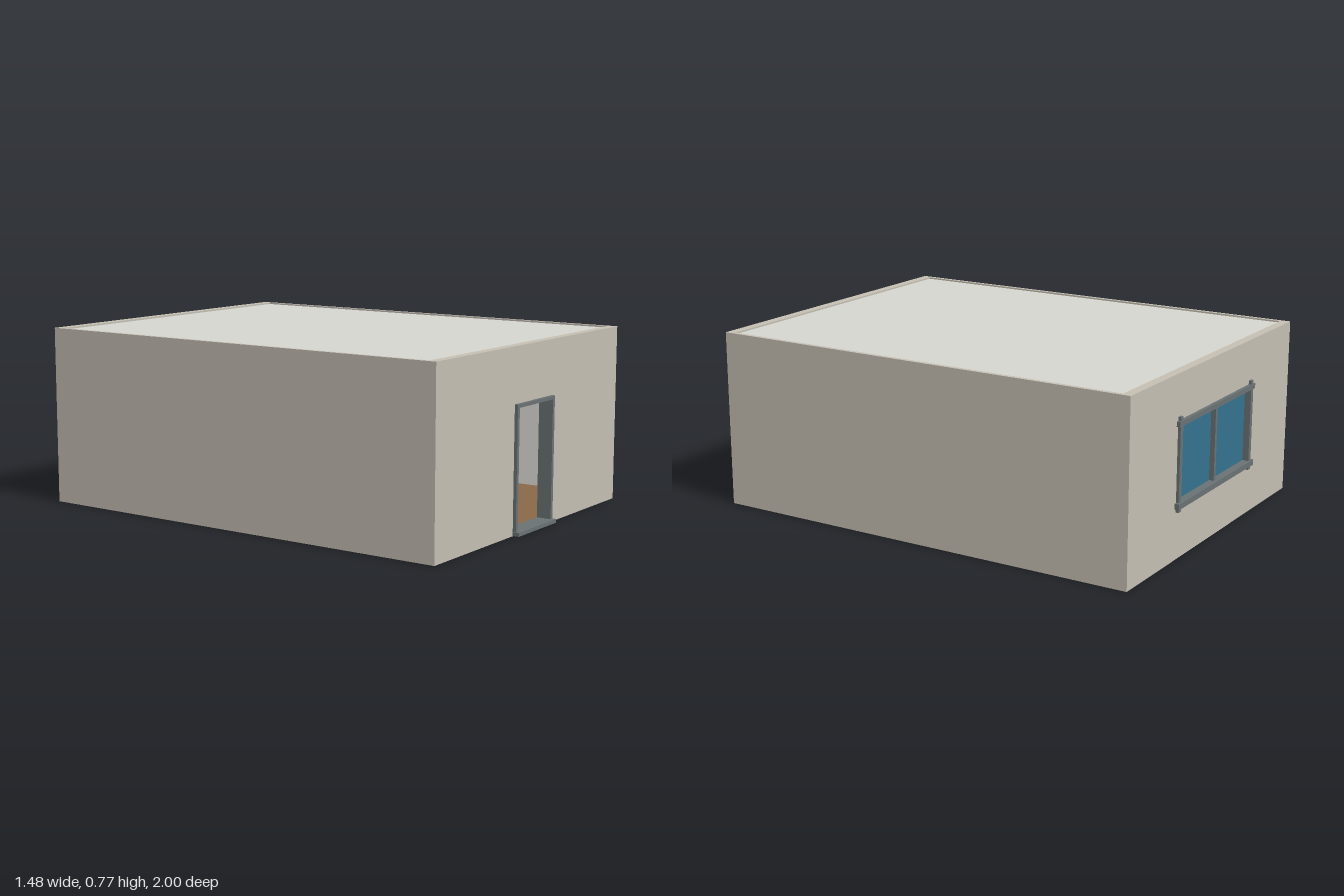
import * as THREE from 'three';

const mat = (color) => new THREE.MeshStandardMaterial({ color });

const M = {
  wall: mat(0xc4beb2),
  lining: mat(0xe6e4dd),
  ceiling: mat(0xd6d5cf),
  floor: mat(0x8a6848),
  frame: mat(0x6a7274),
  wood: mat(0xa87440),
  door: mat(0x8c6238),
  glass: mat(0x35728f),
};

// Box given by its extents along each axis
function box(parent, name, material, [x0, x1], [y0, y1], [z0, z1]) {
  const mesh = new THREE.Mesh(new THREE.BoxGeometry(x1 - x0, y1 - y0, z1 - z0), material);
  mesh.position.set((x0 + x1) / 2, (y0 + y1) / 2, (z0 + z1) / 2);
  mesh.name = name;
  parent.add(mesh);
  return mesh;
}

// Rectangular wall slab with one rectangular opening
function wallWithOpening(parent, name, material, halfWidth, [y0, y1], [z0, z1], [hx, hy0, hy1]) {
  const rect = (path, w, a, b) => path.moveTo(-w, a).lineTo(w, a).lineTo(w, b).lineTo(-w, b).closePath();
  const shape = new THREE.Shape();
  rect(shape, halfWidth, y0, y1);
  const hole = new THREE.Path();
  rect(hole, hx, hy0, hy1);
  shape.holes.push(hole);
  const geometry = new THREE.ExtrudeGeometry(shape, { depth: z1 - z0, bevelEnabled: false });
  const mesh = new THREE.Mesh(geometry, material);
  mesh.position.z = z0;
  mesh.name = name;
  parent.add(mesh);
}

function group(parent, name) {
  const g = new THREE.Group();
  g.name = name;
  parent.add(g);
  return g;
}

export function createModel() {
  const model = new THREE.Group();
  model.name = 'room';

  const W = 0.738, H = 0.767, FRONT = 0.97, BACK = -0.98;
  const inX = 0.72, inFront = 0.93, inBack = -0.94;
  const doorHole = [0.145, 0.004, 0.528];
  const windowHole = [0.33, 0.225, 0.567];

  // Outer walls and their pale inner lining
  const walls = group(model, 'walls');
  wallWithOpening(walls, 'frontWall', M.wall, W, [0, H], [inFront, FRONT], doorHole);
  wallWithOpening(walls, 'backWall', M.wall, W, [0, H], [BACK, inBack], windowHole);
  wallWithOpening(walls, 'frontLining', M.lining, inX, [0.015, 0.75], [inFront - 0.004, inFront], [0.145, 0.016, 0.528]);
  wallWithOpening(walls, 'backLining', M.lining, inX, [0.015, 0.75], [inBack, inBack + 0.004], windowHole);
  for (const s of [1, -1]) {
    const side = s > 0 ? 'left' : 'right';
    const span = (a, b) => (s > 0 ? [a, b] : [-b, -a]);
    box(walls, side + 'Wall', M.wall, span(inX, W), [0, H], [inBack, inFront]);
    box(walls, side + 'Lining', M.lining, span(inX - 0.004, inX), [0.015, 0.75], [inBack, inFront]);
  }

  // Floor and ceiling sit slightly inside the wall edges
  box(model, 'floor', M.floor, [-inX, inX], [0.003, 0.016], [inBack, inFront]);
  box(model, 'ceiling', M.ceiling, [-inX, inX], [0.745, 0.76], [inBack, inFront]);

  // Doorway with threshold and a leaf swung inward
  const doorway = group(model, 'doorway');
  for (const s of [1, -1]) {
    box(doorway, 'doorJamb', M.frame, s > 0 ? [0.137, 0.153] : [-0.153, -0.137], [0.005, 0.535], [0.92, 0.984]);
  }
  box(doorway, 'doorHead', M.frame, [-0.137, 0.137], [0.52, 0.535], [0.92, 0.984]);
  box(doorway, 'threshold', M.frame, [-0.156, 0.156], [0.002, 0.018], [0.92, 1.0]);
  box(doorway, 'doorLeaf', M.door, [-0.107, -0.095], [0.018, 0.52], [0.72, 0.95]);

  // Back window: overlapping posts and rails around two panes
  const win = group(model, 'window');
  for (const s of [1, -1]) {
    box(win, 'windowPost', M.frame, s > 0 ? [0.318, 0.34] : [-0.34, -0.318], [0.2, 0.592], [-0.992, -0.934]);
  }
  box(win, 'windowSill', M.frame, [-0.352, 0.352], [0.216, 0.24], [-1.0, -0.93]);
  box(win, 'windowHead', M.frame, [-0.352, 0.352], [0.554, 0.576], [-0.995, -0.932]);
  box(win, 'mullion', M.frame, [-0.008, 0.008], [0.24, 0.554], [-0.985, -0.936]);
  for (const s of [1, -1]) {
    box(win, 'pane', M.glass, s > 0 ? [0.008, 0.318] : [-0.318, -0.008], [0.24, 0.554], [-0.964, -0.956]);
  }

  // Desk on two panel legs
  const desk = group(model, 'desk');
  box(desk, 'deskTop', M.wood, [-0.31, 0.31], [0.175, 0.205], [0.12, 0.48]);
  for (const s of [1, -1]) {
    box(desk, 'deskLeg', M.frame, s > 0 ? [0.28, 0.3] : [-0.3, -0.28], [0.016, 0.175], [0.14, 0.46]);
  }

  return model;
}
